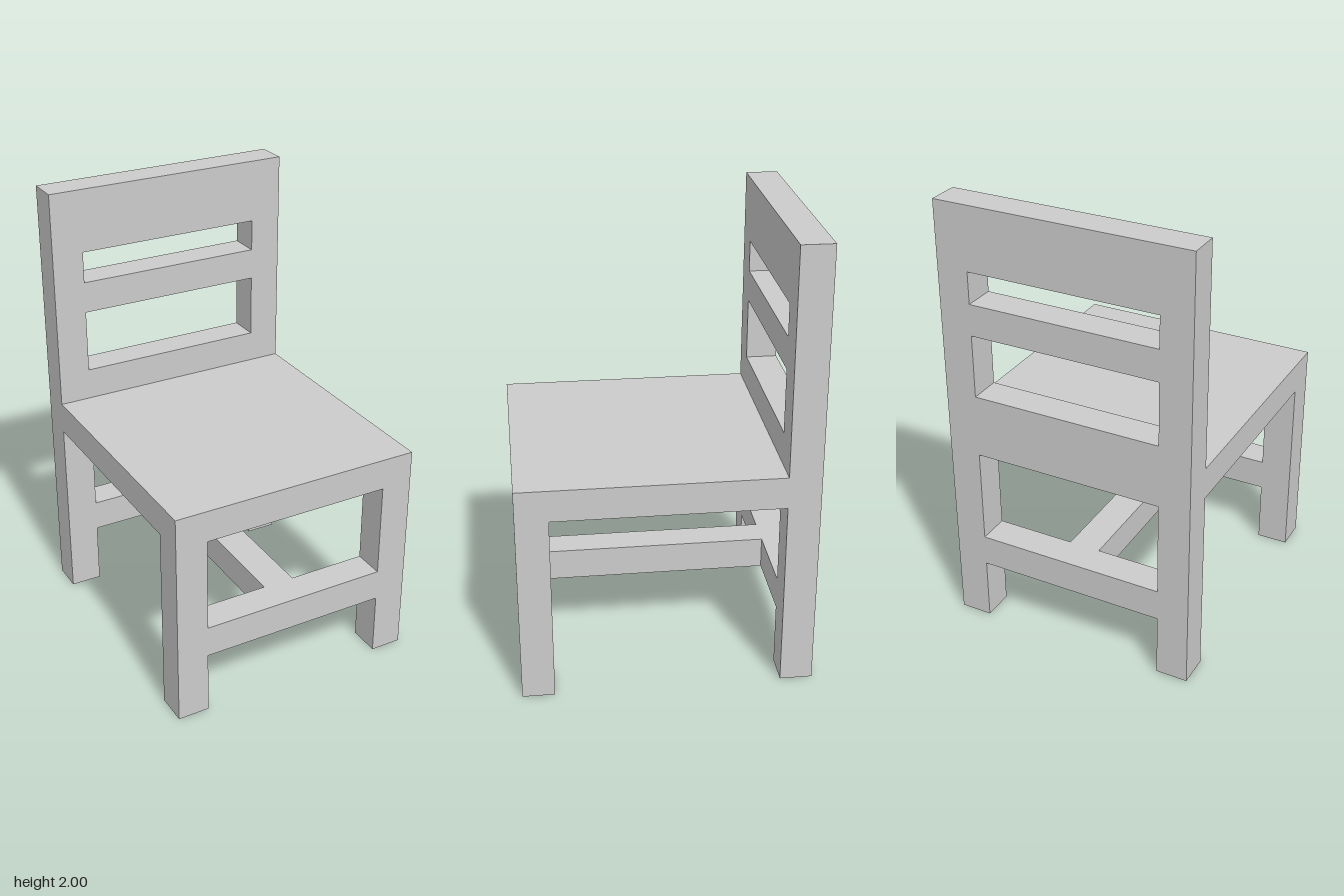
import * as THREE from 'three';

const U = 1 / 7; // one beam thickness; all sizes are multiples of it
const material = new THREE.MeshStandardMaterial({ color: 0xcccccc });

// Flat frame standing on two legs, with rectangular openings [bottom, top]
function frame(name, height, openings, z) {
  const outline = [[-4, 0], [-3, 0], [-3, 2], [3, 2], [3, 0], [4, 0], [4, height], [-4, height]];
  const shape = new THREE.Shape(outline.map(([x, y]) => new THREE.Vector2(x * U, y * U)));
  for (const [y0, y1] of openings) {
    const corners = [[-3, y0], [-3, y1], [3, y1], [3, y0]];
    shape.holes.push(new THREE.Path(corners.map(([x, y]) => new THREE.Vector2(x * U, y * U))));
  }
  const geometry = new THREE.ExtrudeGeometry(shape, { depth: U, bevelEnabled: false });
  const mesh = new THREE.Mesh(geometry, material);
  mesh.name = name;
  mesh.position.z = z * U;
  return mesh;
}

function beam(name, width, height, depth, y) {
  const mesh = new THREE.Mesh(new THREE.BoxGeometry(width * U, height * U, depth * U), material);
  mesh.name = name;
  mesh.position.y = y * U;
  return mesh;
}

export function createModel() {
  const chair = new THREE.Group();
  chair.name = 'chair';

  // Front legs with their rail and the seat's front edge
  chair.add(frame('frontLegs', 7, [[3, 6]], 3.5));
  // Back legs running up into the slatted backrest
  chair.add(frame('backrest', 14, [[3, 6], [8, 10], [11, 12]], -4.5));
  // Seat slab between the two frames
  chair.add(beam('seat', 8, 1, 7, 6.5));
  // Centre stretcher joining the front and back rails
  chair.add(beam('stretcher', 1, 1, 7, 2.5));

  return chair;
}
